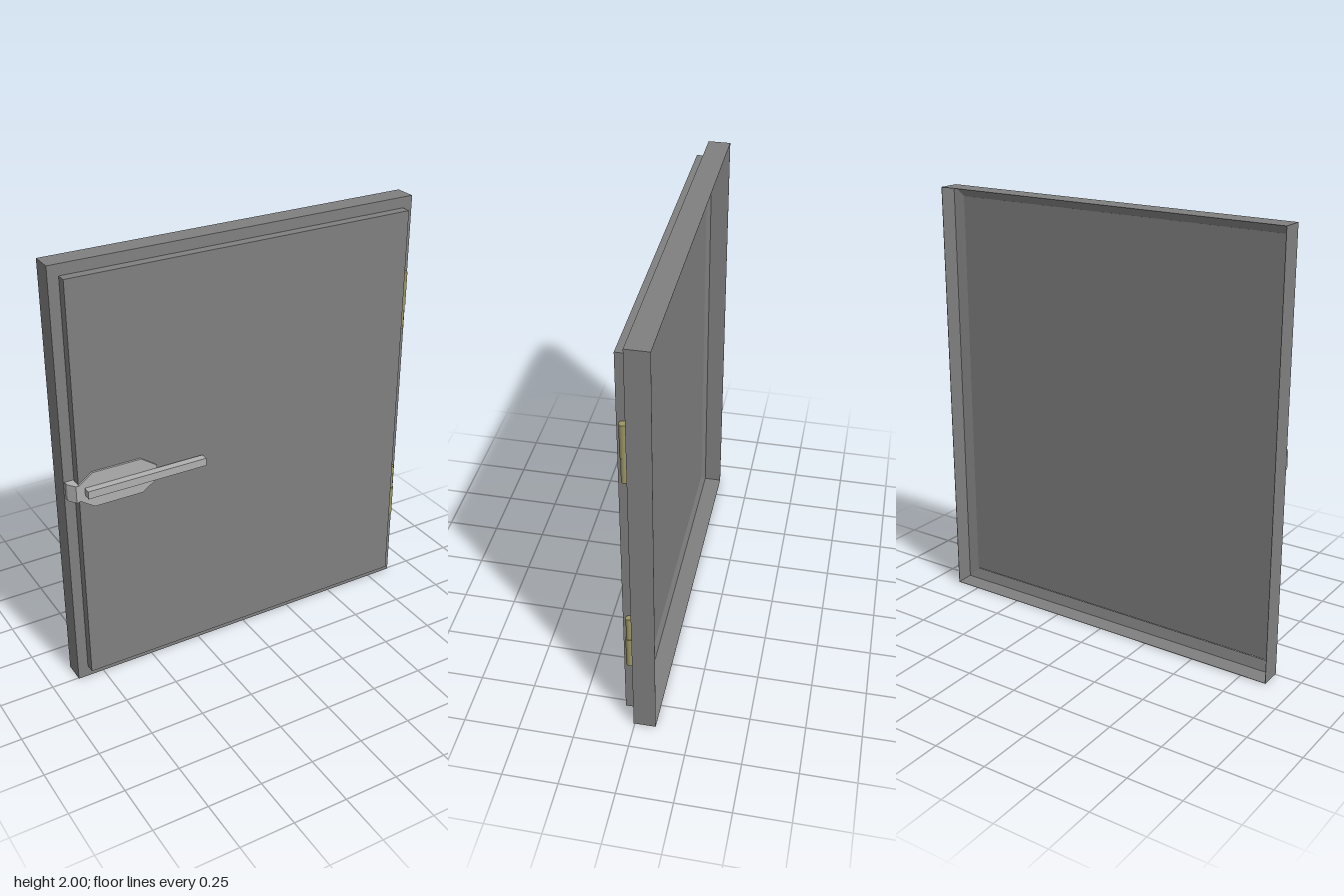
import * as THREE from 'three';

const W = 0.873, H = 2;

// Sweeps a closed [inset, z] profile around the rectangular outline
function sweptFrame(profile) {
  const pos = [];
  const corner = (i, [d, z]) => {
    const sx = i === 1 || i === 2 ? 1 : -1, sy = i > 1 ? 1 : -1;
    return [sx * (W - d), H / 2 + sy * (H / 2 - d), z];
  };
  for (let i = 0; i < 4; i++) {
    const j = (i + 1) % 4;
    profile.forEach((p, k) => {
      const q = profile[(k + 1) % profile.length];
      const a = corner(i, p), b = corner(j, p), c = corner(j, q), d = corner(i, q);
      pos.push(...a, ...b, ...c, ...a, ...c, ...d);
    });
  }
  const g = new THREE.BufferGeometry();
  g.setAttribute('position', new THREE.Float32BufferAttribute(pos, 3));
  g.computeVertexNormals();
  return g;
}

function extrude(points, depth) {
  const shape = new THREE.Shape(points.map(([x, y]) => new THREE.Vector2(x, y)));
  return new THREE.ExtrudeGeometry(shape, { depth, bevelEnabled: false });
}

export function createModel() {
  const group = new THREE.Group();
  const paint = new THREE.MeshStandardMaterial({ color: 0x808080 });
  paint.name = 'grey paint';
  const steel = new THREE.MeshStandardMaterial({ color: 0xb0b0b0 });
  steel.name = 'light steel';
  const brass = new THREE.MeshStandardMaterial({ color: 0x9c9564 });
  brass.name = 'dull brass';

  const add = (name, geometry, material, x = 0, y = 0, z = 0) => {
    const mesh = new THREE.Mesh(geometry, material);
    mesh.name = name;
    mesh.position.set(x, y, z);
    group.add(mesh);
    return mesh;
  };

  // Thin-walled frame, open at the back, with a sloped inner lip
  add('frame', sweptFrame([
    [0.052, 0.005], [0.052, -0.012], [0.004, 0], [0.002, -0.095], [0, -0.095], [0, 0.005],
  ].map(([d, z], i) => (i === 1 ? [d, 0.003] : i === 2 ? [0.003, -0.012] : [d, z]))), paint);

  // Door leaf standing proud of the frame
  add('doorPanel', new THREE.BoxGeometry(1.65, 1.895, 0.048), paint, 0, 1.0025, 0.026);

  // Handle: eight-sided plate and long lever
  const px = [-0.83, -0.76, -0.535, -0.463];
  add('handlePlate', extrude([
    [px[0], 0.968], [px[1], 0.92], [px[2], 0.92], [px[3], 0.968],
    [px[3], 1.035], [px[2], 1.085], [px[1], 1.085], [px[0], 1.035],
  ], 0.01), steel, 0, 0, 0.05);
  add('handleLever', new THREE.BoxGeometry(0.562, 0.036, 0.036), steel, -0.52, 1.003, 0.077);

  // Wedge-shaped catch on the frame edge, extruded upward
  const keeper = extrude([
    [-0.867, -0.004], [-0.828, -0.004], [-0.828, -0.064], [-0.842, -0.064], [-0.867, -0.028],
  ], 0.08);
  keeper.rotateX(-Math.PI / 2);
  add('latchKeeper', keeper, steel, 0, 0.962, 0);

  // Hinges: a wide outer barrel and a narrower inner barrel, mirrored top to bottom
  for (const [name, y, s] of [['upperHinge', 1.505, 1], ['lowerHinge', 0.503, -1]]) {
    const barrel = (r, h) => new THREE.CylinderGeometry(r, r, h, 16);
    add(name + 'Barrel', barrel(0.0165, 0.157), brass, 0.842, y + s * 0.067, 0.021);
    add(name + 'Pin', barrel(0.0135, 0.12), brass, 0.842, y - s * 0.0715, 0.021);
  }
  return group;
}
